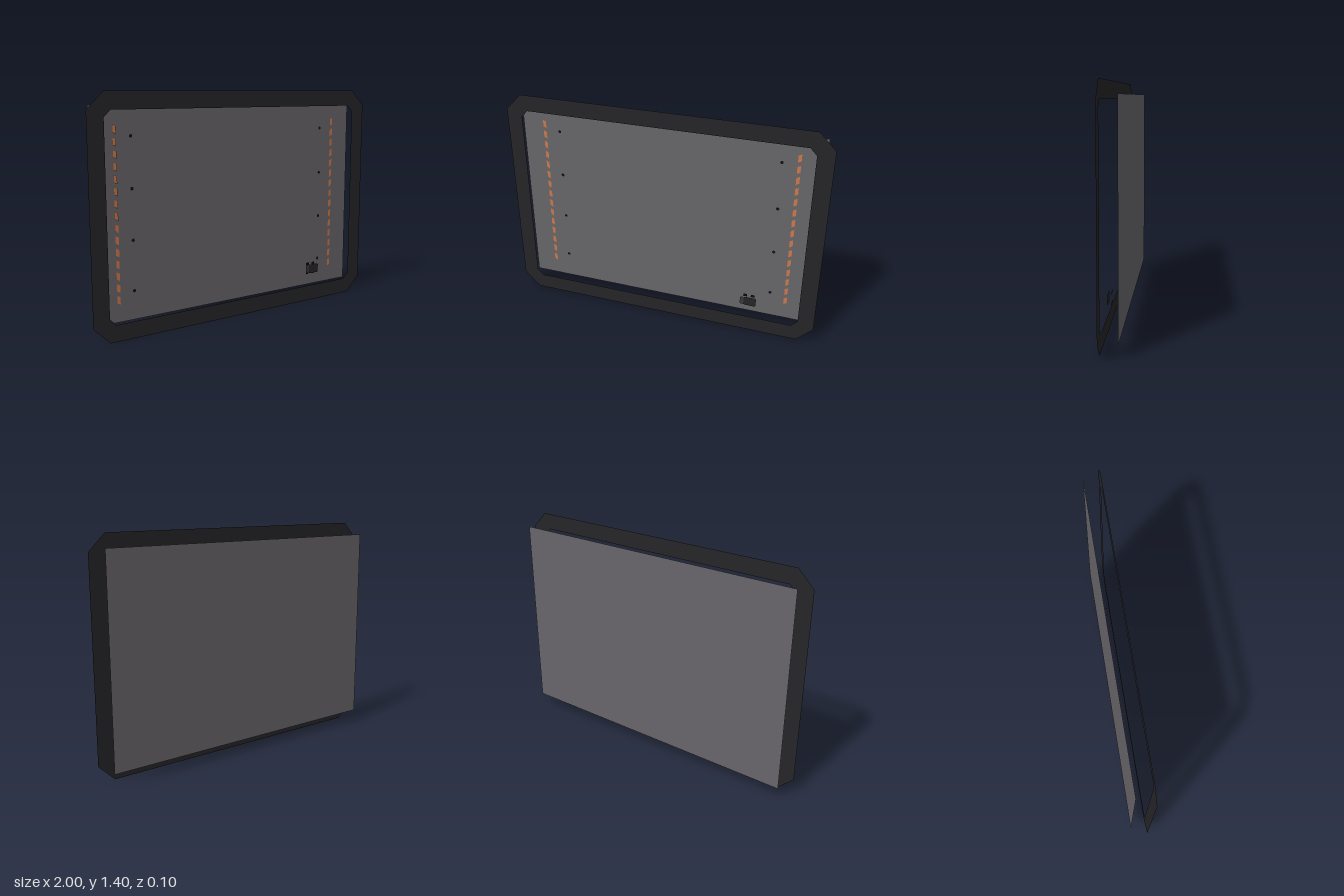
import * as THREE from 'three';

const mat = (color) => new THREE.MeshStandardMaterial({ color, side: THREE.DoubleSide });
const dark = mat(0x262427);
const panelGrey = mat(0x68666a);
const orange = mat(0xd07a4c);
const black = mat(0x101010);
const cabGrey = mat(0x3a3a3a);

// Rectangle with cut corners, as a list of points
function cutRect(x0, y0, x1, y1, c) {
  return [
    [x0 + c, y0], [x1 - c, y0], [x1, y0 + c], [x1, y1 - c],
    [x1 - c, y1], [x0 + c, y1], [x0, y1 - c], [x0, y0 + c],
  ].map(([x, y]) => new THREE.Vector2(x, y));
}

function flat(parent, name, geometry, material, x, y, z) {
  const mesh = new THREE.Mesh(geometry, material);
  mesh.name = name;
  mesh.position.set(x, y, z);
  parent.add(mesh);
  return mesh;
}

function subgroup(parent, name) {
  const g = new THREE.Group();
  g.name = name;
  parent.add(g);
  return g;
}

export function createModel() {
  const model = new THREE.Group();
  model.name = 'framedPanel';

  // Flat frame with cut corners, standing in front of the panel
  const frame = new THREE.Shape(cutRect(-1, 0, 1, 1.4, 0.1));
  frame.holes.push(new THREE.Path(cutRect(-0.9, 0.1, 0.9, 1.3, 0.04).reverse()));
  flat(model, 'frame', new THREE.ShapeGeometry(frame), dark, 0, 0, 0.05);

  // Back panel
  flat(model, 'backPanel', new THREE.PlaneGeometry(1.9, 1.25), panelGrey, 0, 0.7, -0.05);

  // Slanted dashes and round holes, mirrored left and right
  for (const side of [-1, 1]) {
    const w = 0.01 * side;
    const dash = new THREE.ShapeGeometry(new THREE.Shape([
      new THREE.Vector2(-w, -0.027), new THREE.Vector2(w, -0.017),
      new THREE.Vector2(w, 0.027), new THREE.Vector2(-w, 0.017),
    ]));
    const label = side > 0 ? 'left' : 'right';
    const dashes = subgroup(model, label + 'Dashes');
    for (let i = 0; i < 15; i++) {
      flat(dashes, 'dash', dash, orange, 0.8 * side, 0.21 + i * 0.07, -0.043);
    }
    const holes = subgroup(model, label + 'Holes');
    for (let i = 0; i < 4; i++) {
      flat(holes, 'hole', new THREE.CircleGeometry(0.01, 16), black, 0.7 * side, 0.25 + i * 0.3, -0.045);
    }
  }

  // Small vehicle-shaped marker: body and cab in front, wheels a layer behind
  const marker = subgroup(model, 'marker');
  marker.position.set(0.58, 0.212, 0);
  const body = new THREE.Shape(cutRect(-0.028, -0.03, 0.05, 0.03, 0.006));
  flat(marker, 'markerBody', new THREE.ShapeGeometry(body), dark, 0, 0, 0.043);
  const cab = new THREE.Shape(cutRect(-0.052, -0.027, -0.028, 0.027, 0.006));
  flat(marker, 'markerCab', new THREE.ShapeGeometry(cab), cabGrey, 0, 0, 0.043);
  for (const x of [-0.024, 0.024]) {
    for (const y of [-0.03, 0.03]) {
      flat(marker, 'markerWheel', new THREE.PlaneGeometry(0.024, 0.018), black, x, y, 0.022);
    }
  }
  return model;
}
